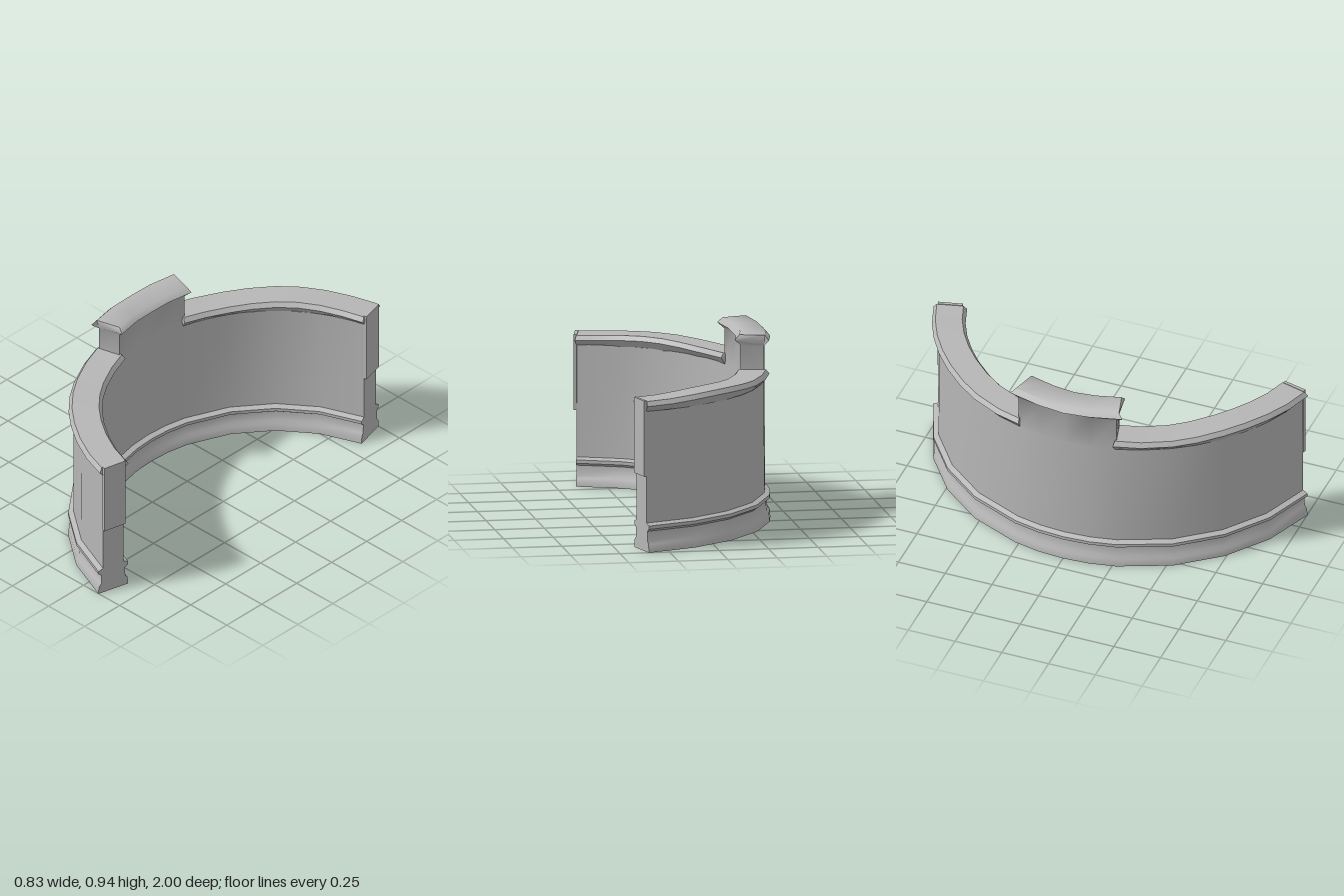
import * as THREE from 'three';
import { toCreasedNormals } from 'three/addons/utils/BufferGeometryUtils.js';

const CENTRE_X = 0.614;  // centre of the arc
const MID = 0.948;       // mid radius of the wall

// Outer half of a profile [offset, y, flare] mirrored to a closed section, counterclockwise
const symmetric = half => [
  ...half.map(([o, y, f = 0]) => [MID + o, y, f]),
  ...half.slice().reverse().map(([o, y, f = 0]) => [MID - o, y, f]),
];

// Sweep a closed [radius, y, flare] section along angles in degrees, capping both ends.
// Flare lengthens a section point past the ends; rise(angle, y) shifts its height.
function sweep(section, angles, rise = () => 0, crease = 0.9) {
  const n = section.length, last = angles.length - 1;
  const pos = [], index = [];
  angles.forEach((deg, j) => {
    for (const [r, y, f] of section) {
      const a = THREE.MathUtils.degToRad(deg + (j === 0 ? -f : j === last ? f : 0));
      pos.push(CENTRE_X - r * Math.cos(a), y + rise(deg, y), r * Math.sin(a));
    }
  });
  for (let j = 0; j < last; j++) {
    for (let i = 0; i < n; i++) {
      const k = (i + 1) % n;
      const a = j * n + i, b = a + n, c = (j + 1) * n + k, d = j * n + k;
      index.push(a, b, c, a, c, d);
    }
  }
  const outline = section.map(([r, y]) => new THREE.Vector2(r, y));
  for (const [a, b, c] of THREE.ShapeUtils.triangulateShape(outline, [])) {
    index.push(a, b, c, last * n + a, last * n + c, last * n + b);
  }
  const geo = new THREE.BufferGeometry();
  geo.setAttribute('position', new THREE.Float32BufferAttribute(pos, 3));
  geo.setIndex(index);
  return toCreasedNormals(geo, crease);
}

export function createModel() {
  const group = new THREE.Group();
  const stone = new THREE.MeshStandardMaterial({ color: 0xb6b6b6 });
  stone.name = 'grey stone';

  const add = (name, geo) => {
    const mesh = new THREE.Mesh(geo, stone);
    mesh.name = name;
    group.add(mesh);
  };

  // Curved wall with the moulded base
  const wallAngles = [-75.5, -60.4, -45.8, -30.8, -15.1, -7.5, 0, 7.5, 15.1, 30.8, 45.8, 60.4, 75.5];
  add('wallAndBase', sweep(symmetric([
    [0.087, 0], [0.083, 0.04], [0.07, 0.055], [0.068, 0.105],
    [0.086, 0.118], [0.086, 0.135], [0.06, 0.146], [0.058, 0.715],
  ]), wallAngles));

  // Slightly worn lip along the low wall on both sides
  const lip = symmetric([
    [0.058, 0.71, 0], [0.084, 0.745, 0.5], [0.067, 0.768, 0],
  ]);
  const wear = deg => 0.006 * Math.sin(Math.abs(deg) * 0.13 + 1.2);
  const lipAngles = [14.6, 22, 30.8, 38, 45.8, 53, 60.4, 68, 75.5];
  const lipRise = (deg, y) => (y > 0.72 ? wear(deg) : 0);
  add('lipFront', sweep(lip, lipAngles, lipRise));
  add('lipBack', sweep(lip, lipAngles.map(a => -a).reverse(), lipRise));

  // Raised middle block with a flared cap that dips at its centre
  add('raisedMiddle', sweep(symmetric([
    [0.058, 0.71], [0.058, 0.89], [0.086, 0.92, 1.7], [0.064, 0.945, 0.7],
  ]), [-15.1, -7.5, 0, 7.5, 15.1], (deg, y) => (y > 0.9 ? -0.012 * (1 - Math.abs(deg) / 15.1) : 0)));

  // Flat plates on the upper half of the two wall ends
  const plate = symmetric([[0.062, 0.382], [0.062, 0.765]]);
  add('endPlateFront', sweep(plate, [75.4, 76.4]));
  add('endPlateBack', sweep(plate, [-76.4, -75.4]));

  return group;
}
